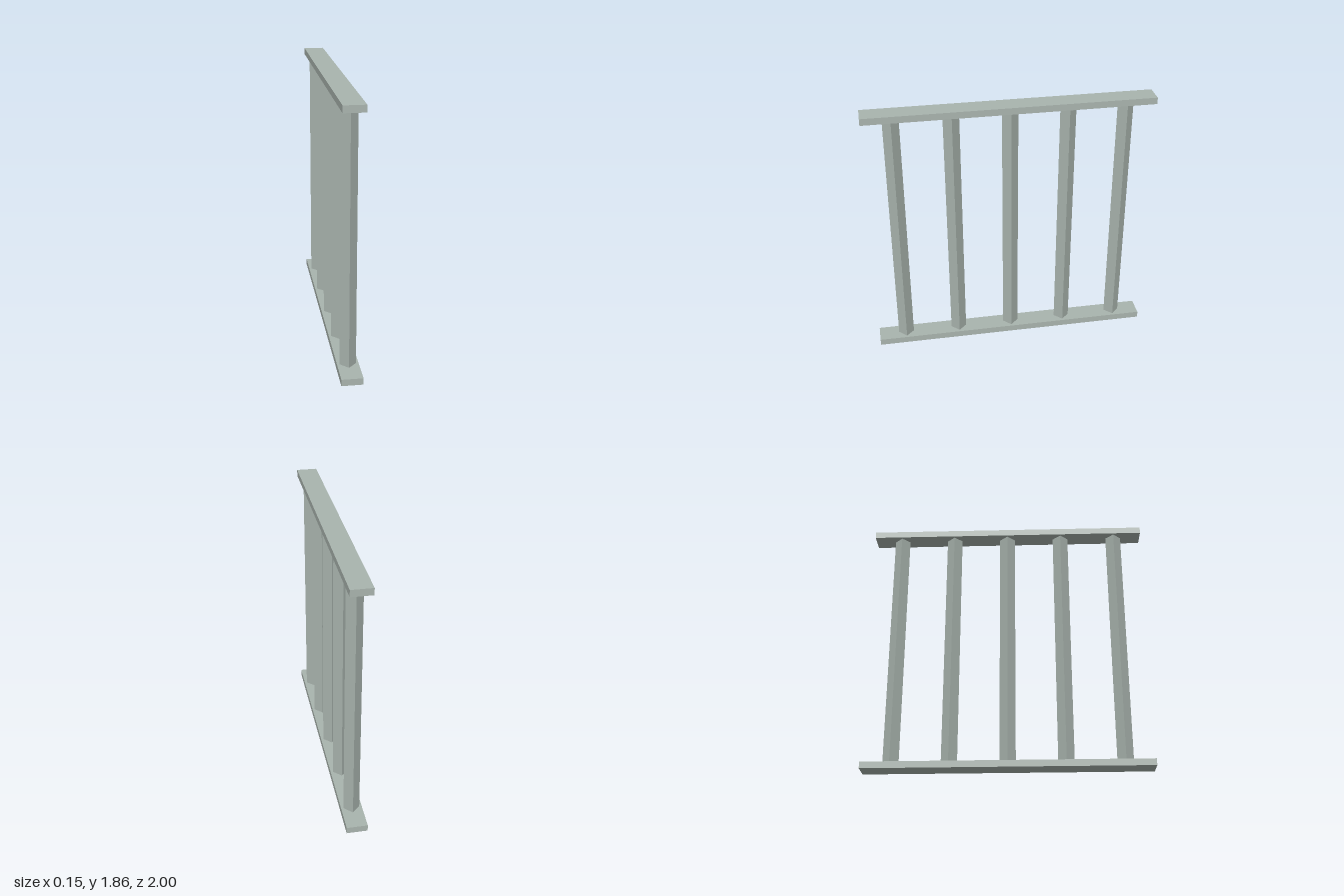
import * as THREE from 'three';

const HEIGHT = 1.86;
const RAIL = { width: 0.146, height: 0.047, length: 2 };
const POST_RADIUS = 0.056;
const POST_SPACING = 0.4;

export function createModel() {
  const model = new THREE.Group();
  model.name = 'barFence';
  const metal = new THREE.MeshStandardMaterial({ color: 0xa9b4ae });
  metal.name = 'greyMetal';

  const add = (name, geometry, y, z = 0) => {
    const mesh = new THREE.Mesh(geometry, metal);
    mesh.name = name;
    mesh.position.set(0, y, z);
    model.add(mesh);
    return mesh;
  };

  // Flat rails along the bottom and top
  const rail = new THREE.BoxGeometry(RAIL.width, RAIL.height, RAIL.length);
  add('bottomRail', rail, RAIL.height / 2);
  add('topRail', rail, HEIGHT - RAIL.height / 2);

  // Square bars, turned so that their corners face along the rails
  const side = POST_RADIUS * Math.SQRT2;
  const bar = new THREE.BoxGeometry(side, HEIGHT - 2 * RAIL.height, side);
  for (let i = -2; i <= 2; i++) {
    add(`bar${i + 3}`, bar, HEIGHT / 2, i * POST_SPACING).rotation.y = Math.PI / 4;
  }
  return model;
}
